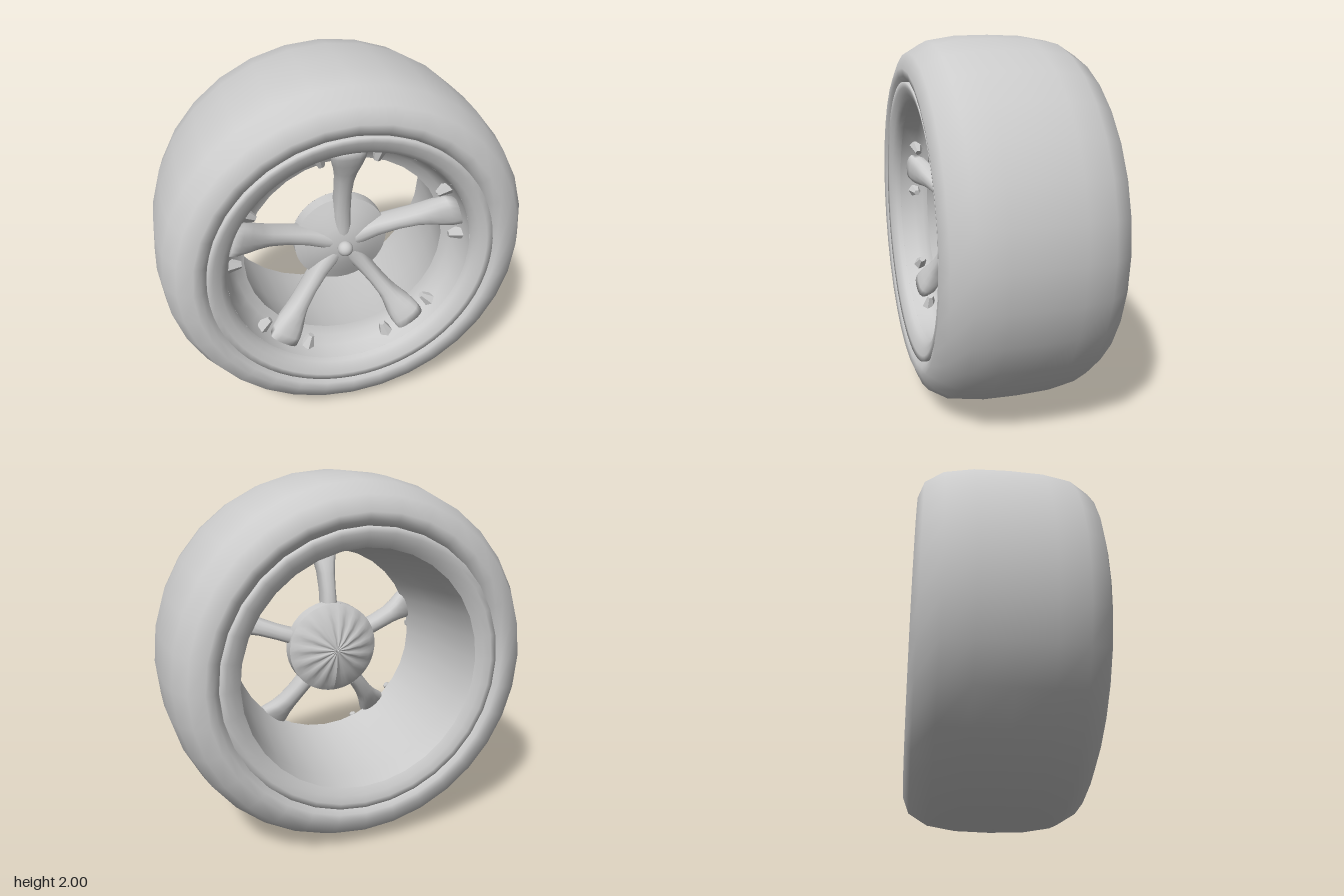
import * as THREE from 'three';
import { toCreasedNormals } from 'three/addons/utils/BufferGeometryUtils.js';

const grey = new THREE.MeshStandardMaterial({ color: 0xcccccc, side: THREE.DoubleSide });

function addMesh(parent, name, geometry) {
  const mesh = new THREE.Mesh(geometry, grey);
  mesh.name = name;
  parent.add(mesh);
  return mesh;
}

// Revolve a [radius, z] profile about the wheel's z axle.
function revolve(profile, segments) {
  const points = profile.map(([r, z]) => new THREE.Vector2(r, z));
  return new THREE.LatheGeometry(points, segments).rotateX(Math.PI / 2);
}

// Loft rounded sections [radius, z, half width, half depth] out along +y.
function loft(sections, sides = 16) {
  const positions = [], index = [];
  const soft = (v) => Math.sign(v) * Math.pow(Math.abs(v), 0.75);
  sections.forEach(([r, z, w, d]) => {
    for (let j = 0; j < sides; j++) {
      const a = (j / sides) * Math.PI * 2;
      positions.push(w * soft(Math.cos(a)), r, z + d * soft(Math.sin(a)));
    }
  });
  for (let i = 0; i < sections.length - 1; i++) {
    for (let j = 0; j < sides; j++) {
      const a = i * sides + j, b = i * sides + (j + 1) % sides;
      index.push(a, a + sides, b, b, a + sides, b + sides);
    }
  }
  // End cap at the rim
  const top = (sections.length - 1) * sides;
  for (let j = 1; j < sides - 1; j++) index.push(top, top + j + 1, top + j);
  const geometry = new THREE.BufferGeometry();
  geometry.setAttribute('position', new THREE.Float32BufferAttribute(positions, 3));
  geometry.setIndex(index);
  geometry.computeVertexNormals();
  return geometry;
}

export function createModel() {
  const wheel = new THREE.Group();
  wheel.name = 'wheel';
  wheel.position.y = 1;

  // Tyre: broad, slightly crowned tread with rounded shoulders
  const half = [[0.74, 0.40], [0.765, 0.43], [0.79, 0.455], [0.83, 0.462], [0.91, 0.43], [0.97, 0.33], [0.995, 0.18]];
  const back = half.map(([r, z]) => [r, -z]);
  addMesh(wheel, 'tyre', revolve([...back, [1, 0], ...half.slice().reverse()], 32));

  // Rim: front lip, dish down to the narrow throat, barrel flaring to the back lip
  addMesh(wheel, 'frontLip', revolve([
    [0.655, 0.385], [0.665, 0.41], [0.69, 0.43], [0.73, 0.445], [0.76, 0.45], [0.76, 0.41],
  ].reverse(), 64));
  addMesh(wheel, 'rimDish', revolve([
    [0.55, 0.235], [0.60, 0.255], [0.637, 0.30], [0.657, 0.385],
  ], 32));
  addMesh(wheel, 'barrel', revolve([
    [0.652, -0.41], [0.635, -0.30], [0.60, 0], [0.55, 0.235],
  ], 32));
  addMesh(wheel, 'backLip', revolve([
    [0.76, -0.41], [0.76, -0.445], [0.73, -0.445], [0.69, -0.435], [0.652, -0.41],
  ], 32));

  // Hub: short drum, shallow front cone and softly pleated back
  const hub = new THREE.Group();
  hub.name = 'hub';
  wheel.add(hub);
  const drum = revolve([
    [0.26, 0.07], [0.26, 0.145], [0.20, 0.17], [0.12, 0.20], [0, 0.225],
  ], 40);
  addMesh(hub, 'hubDrum', toCreasedNormals(drum, 0.7));
  const cap = revolve([[0, -0.005], [0.07, 0], [0.15, 0.02], [0.22, 0.045], [0.26, 0.07]], 60);
  const p = cap.attributes.position;
  for (let i = 0; i < p.count; i++) {
    const r = Math.hypot(p.getX(i), p.getY(i));
    const pleat = Math.sin(Math.PI * Math.min(r / 0.26, 1)) * 0.007;
    p.setZ(i, p.getZ(i) + pleat * Math.cos(15 * Math.atan2(p.getX(i), p.getY(i))));
  }
  cap.computeVertexNormals();
  addMesh(hub, 'hubBack', cap);
  const nut = addMesh(hub, 'centreNut', new THREE.SphereGeometry(0.042, 20, 14));
  nut.position.z = 0.24;

  // Five spokes that swell where they meet the rim, each between two lugs
  const spokeGeometry = loft([
    [0.02, 0.15, 0.035, 0.06], [0.10, 0.145, 0.05, 0.068], [0.20, 0.145, 0.046, 0.07],
    [0.32, 0.17, 0.043, 0.07], [0.42, 0.20, 0.048, 0.07], [0.48, 0.225, 0.06, 0.07],
    [0.54, 0.255, 0.08, 0.065], [0.59, 0.28, 0.09, 0.06], [0.635, 0.30, 0.09, 0.05],
  ]);
  const lugGeometry = toCreasedNormals(new THREE.CylinderGeometry(0.048, 0.018, 0.09, 6), 0.5);
  for (let i = 0; i < 5; i++) {
    const arm = new THREE.Group();
    arm.name = 'spokeArm' + (i + 1);
    arm.rotation.z = (i / 5) * Math.PI * 2;
    wheel.add(arm);
    addMesh(arm, 'spoke', spokeGeometry);
    for (const side of [-1, 1]) {
      const angle = side * 0.25;
      const lug = addMesh(arm, 'lug', lugGeometry);
      lug.position.set(Math.sin(angle) * 0.615, Math.cos(angle) * 0.615, 0.295);
      lug.rotation.z = -angle;
    }
  }

  const model = new THREE.Group();
  model.name = 'wheelModel';
  model.add(wheel);
  return model;
}
